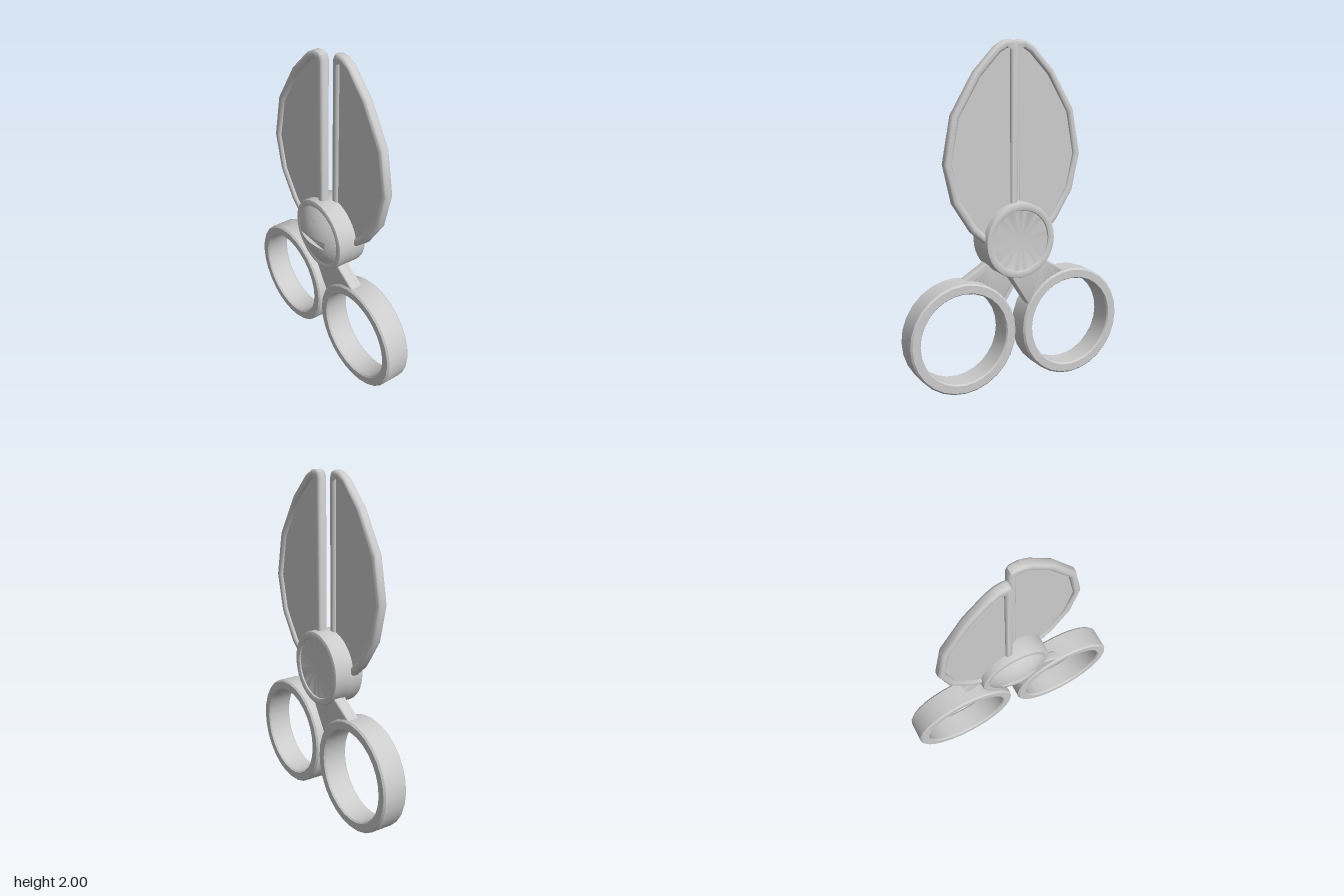
import * as THREE from 'three';
import { toCreasedNormals } from 'three/addons/utils/BufferGeometryUtils.js';
import { ParametricGeometry } from 'three/addons/geometries/ParametricGeometry.js';

const HUB_Y = 0.875;
const material = new THREE.MeshStandardMaterial({ color: 0xcccccc });
const vecs = (list) => list.map(([x, y]) => new THREE.Vector2(x, y));

function add(parent, name, geometry, crease = 0.6) {
  const mesh = new THREE.Mesh(toCreasedNormals(geometry, crease), material);
  mesh.name = name;
  parent.add(mesh);
  return mesh;
}

// Profile of (radius, z) pairs turned around the z axis
function turned(profile, segments) {
  return new THREE.LatheGeometry(vecs(profile), segments).rotateX(Math.PI / 2);
}

// Moves a counter-clockwise outline inwards by d, with mitred corners
function inset(points, d) {
  return points.map((p, i) => {
    const a = points[(i + points.length - 1) % points.length];
    const b = points[(i + 1) % points.length];
    const e = p.clone().sub(a).normalize();
    const f = b.clone().sub(p).normalize();
    const n1 = new THREE.Vector2(-e.y, e.x);
    const n2 = new THREE.Vector2(-f.y, f.x);
    return n1.clone().add(n2).multiplyScalar(d / (1 + n1.dot(n2))).add(p);
  });
}

// Slab with rounded edges between z0 and z1
function slab(shape, z0, z1, bevel) {
  return new THREE.ExtrudeGeometry(shape, {
    depth: z1 - z0 - 2 * bevel, curveSegments: 16,
    bevelEnabled: bevel > 0, bevelSize: bevel, bevelThickness: bevel, bevelOffset: -bevel, bevelSegments: 4,
  }).translate(0, 0, z0 + bevel);
}

// The blade leans forwards towards its outer edge
function lean(geometry) {
  const p = geometry.attributes.position;
  for (let i = 0; i < p.count; i++) p.setZ(i, p.getZ(i) - 0.035 * p.getX(i));
  return geometry;
}

function makeBlade() {
  const blade = new THREE.Group();
  blade.name = 'blade';
  const outline = vecs([
    [-0.003, 0.82], [-0.003, 1.96], [-0.015, 1.99], [-0.04, 2.0], [-0.085, 1.995], [-0.14, 1.963],
    [-0.27, 1.83], [-0.41, 1.6], [-0.46, 1.34], [-0.41, 1.12], [-0.3, 0.95], [-0.2, 0.86], [-0.1, 0.8],
  ]);
  const rim = new THREE.Shape(outline);
  rim.holes.push(new THREE.Path(inset(outline, 0.045)));
  add(blade, 'bladeRim', lean(slab(rim, -0.03, 0.026, 0.018)));
  const panel = new THREE.Shape(inset(outline, 0.025));
  add(blade, 'bladePanel', lean(slab(panel, -0.014, 0.01, 0)));
  return blade;
}

function makeHandle() {
  const handle = new THREE.Group();
  handle.name = 'handle';
  const cx = 0.35, cy = 0.333, back = -0.1, front = 0.052, b = 0.01;

  // Finger ring
  const ring = turned([
    [0.275, back], [0.32, back], [0.33, back + b], [0.33, front - b], [0.32, front],
    [0.275, front], [0.268, front - b], [0.268, back + b], [0.275, back],
  ], 28);
  add(handle, 'fingerRing', ring.translate(cx, cy, 0));

  // Arm from the hub, flaring to meet the ring
  const arm = new THREE.Shape();
  arm.moveTo(-0.08, 0.7);
  arm.lineTo(0.05, 0.85);
  arm.lineTo(0.165, 0.745);
  arm.lineTo(0.325, 0.65);
  arm.absarc(cx, cy, 0.3, 1.65, 2.66, false);
  arm.lineTo(0.06, 0.48);
  add(handle, 'arm', slab(arm, -0.018, 0.04, 0.01));

  // Raised lips along both edges of the arm's inner face
  for (const [x0, y0, x1, y1] of [[-0.062, 0.69, 0.07, 0.492], [0.15, 0.735, 0.31, 0.643]]) {
    const lip = new THREE.BoxGeometry(Math.hypot(x1 - x0, y1 - y0), 0.022, 0.03);
    lip.rotateZ(Math.atan2(y1 - y0, x1 - x0)).translate((x0 + x1) / 2, (y0 + y1) / 2, -0.018);
    add(handle, 'armLip', lip);
  }
  return handle;
}

// One half: blade on the right, handle on the left, joined by a hub disc
function makeHalf(name) {
  const half = new THREE.Group();
  half.name = name;
  const hub = turned([
    [0, -0.032], [0.22, -0.032], [0.22, 0.05], [0.217, 0.057], [0.21, 0.06],
    [0.188, 0.06], [0.18, 0.057], [0.177, 0.05], [0, 0.05],
  ], 40);
  add(half, 'hubDisc', hub.translate(0, HUB_Y, 0));
  half.add(makeBlade(), makeHandle());
  return half;
}

// Domed screw head with a straight slot
function makeScrew() {
  const screw = new THREE.Group();
  screw.name = 'screw';
  screw.position.y = HUB_Y;
  const radius = 0.3, centre = -0.18, floor = 0.095, floorR = 0.12, slot = 0.025;
  const capZ = (x, y) => centre + Math.sqrt(radius * radius - x * x - y * y);

  // Lower dome, cut flat at the slot floor
  const profile = [[0.181, 0.045]];
  for (let i = 0; i <= 6; i++) {
    const r = 0.181 + (floorR - 0.181) * (i / 6);
    profile.push([r, capZ(r, 0)]);
  }
  profile.push([0, floor]);
  add(screw, 'screwBase', turned(profile, 40), 0.3);

  // Upper dome on each side of the slot, with its slot wall
  const halfWidth = (y) => Math.sqrt(Math.max(floorR * floorR - y * y, 0));
  for (const turn of [0, Math.PI]) {
    const cap = new ParametricGeometry((u, v, target) => {
      const y = slot + (floorR - slot) * v;
      const x = (2 * u - 1) * halfWidth(y);
      target.set(x, y, capZ(x, y));
    }, 20, 10);
    add(screw, 'screwCap', cap, 0.4).rotation.z = turn;
    const wall = new ParametricGeometry((u, v, target) => {
      const x = (2 * u - 1) * halfWidth(slot);
      target.set(x, slot, floor + (capZ(x, slot) - floor) * v);
    }, 20, 1);
    add(screw, 'slotWall', wall).rotation.z = turn;
  }
  return screw;
}

export function createModel() {
  const model = new THREE.Group();
  model.name = 'scissors';
  const front = makeHalf('frontHalf');
  const back = makeHalf('backHalf');
  back.rotation.y = Math.PI;
  back.position.z = -0.064;
  model.add(front, back, makeScrew());
  return model;
}
